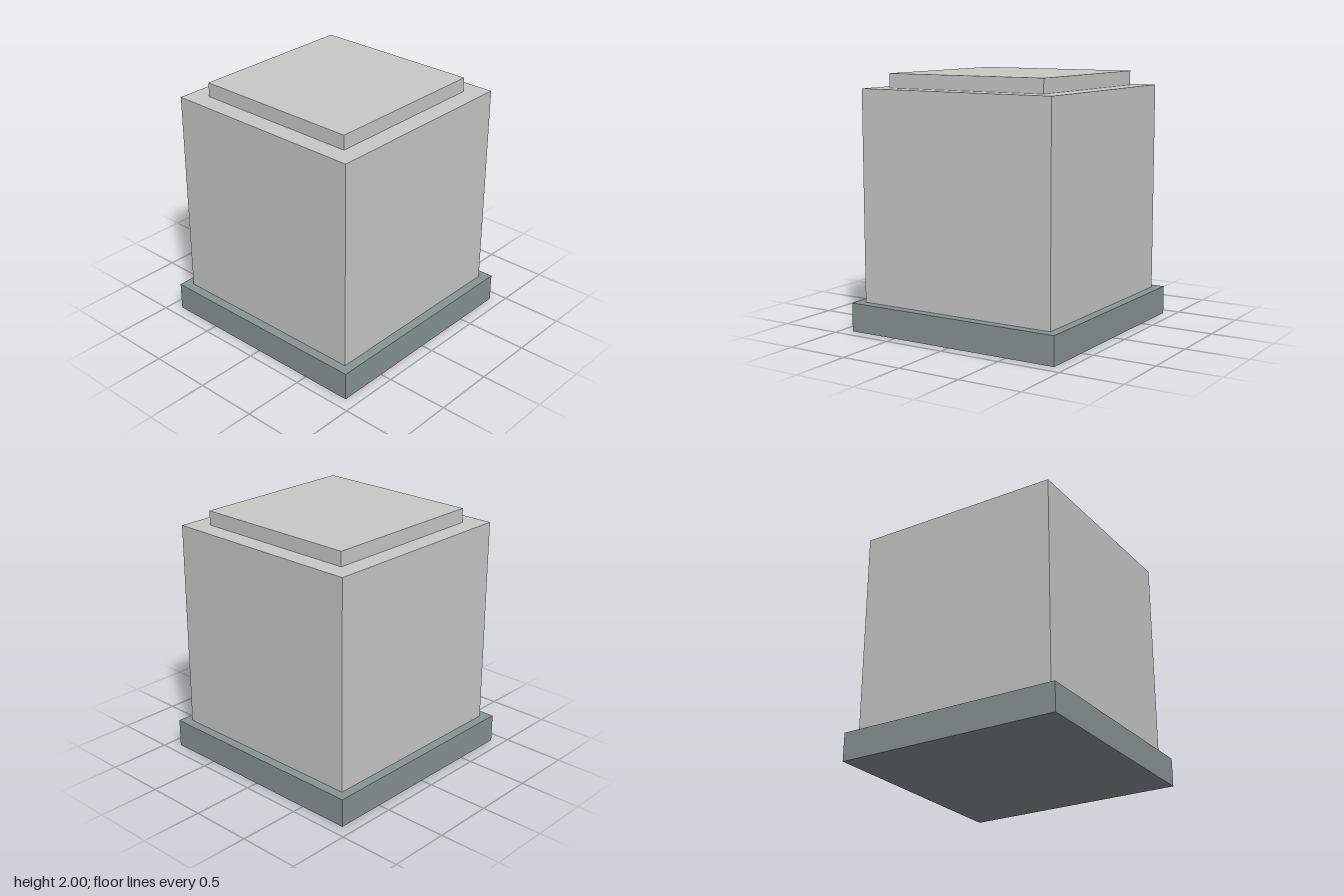
import * as THREE from 'three';

const stone = new THREE.MeshStandardMaterial({ color: 0xc7c9c7 });
stone.name = 'pale stone';
const slate = new THREE.MeshStandardMaterial({ color: 0x879593 });
slate.name = 'grey green slate';

// Square block standing between two heights
function block(name, width, bottom, top, material) {
  const mesh = new THREE.Mesh(new THREE.BoxGeometry(width, top - bottom, width), material);
  mesh.name = name;
  mesh.position.y = (bottom + top) / 2;
  return mesh;
}

export function createModel() {
  const model = new THREE.Group();
  model.name = 'pedestal';
  model.add(
    block('base', 1.81, 0, 0.226, slate),
    block('body', 1.66, 0.226, 1.887, stone),
    block('cap', 1.36, 1.887, 2, stone),
  );
  return model;
}
